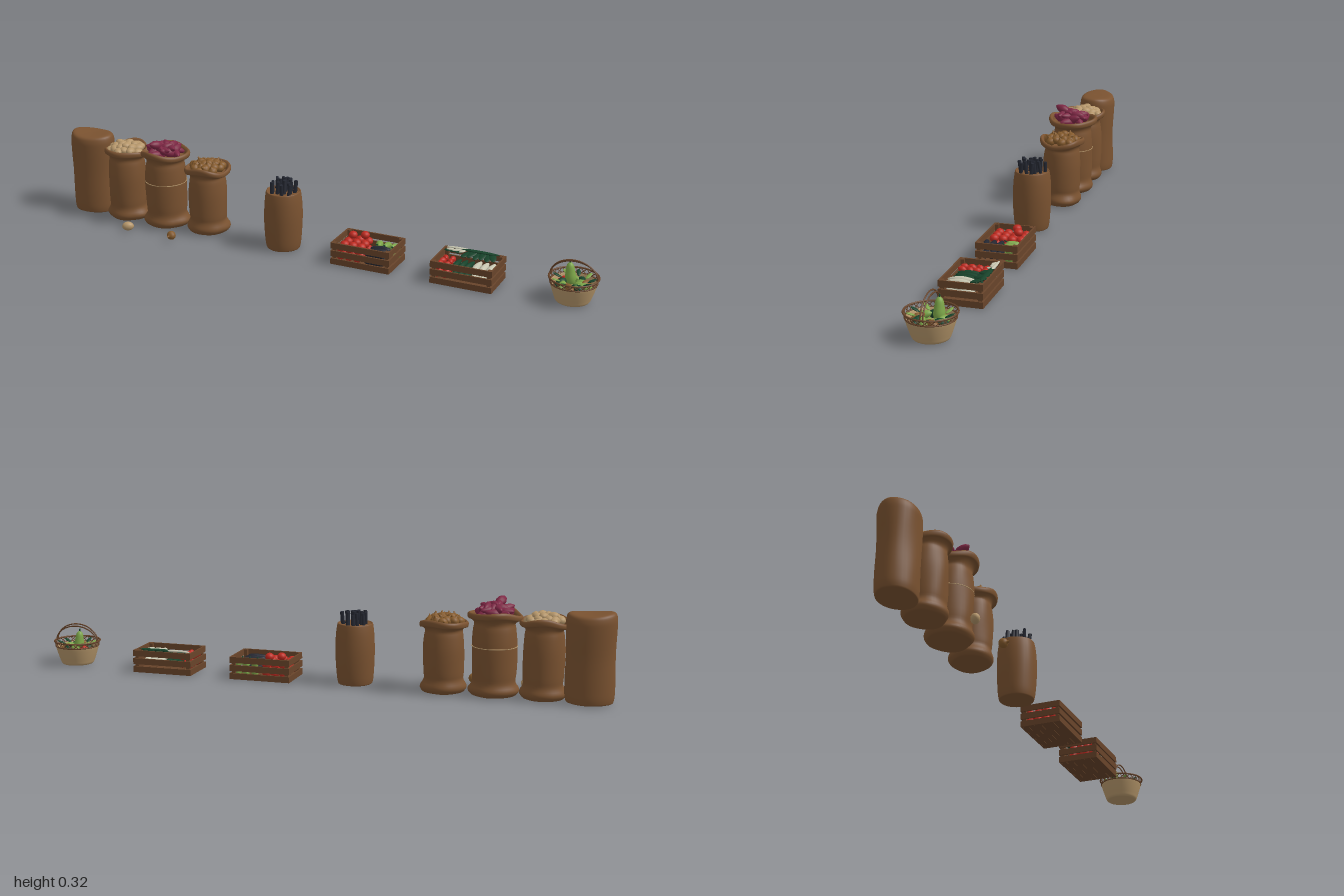
import * as THREE from 'three';
import { mergeVertices } from 'three/addons/utils/BufferGeometryUtils.js';

const mat = (name, color, side = THREE.FrontSide) => new THREE.MeshStandardMaterial({ name, color, side });

// Small seeded generator for natural variation
let seed = 7;
const rnd = (a = 0, b = 1) => {
  seed = (seed * 16807) % 2147483647;
  return a + (b - a) * (seed / 2147483647);
};

// Smooth lathe from a few profile points, optionally reshaped by a rule
function turned(points, segments, rule, divisions = points.length * 3) {
  const curve = new THREE.SplineCurve(points.map(p => new THREE.Vector2(p[0], p[1])));
  const pts = curve.getPoints(divisions).map(p => new THREE.Vector2(Math.max(0, p.x), p.y));
  let geo = new THREE.LatheGeometry(pts, segments);
  geo.deleteAttribute('uv');
  geo.deleteAttribute('normal');
  geo = mergeVertices(geo, 1e-4);
  const pos = geo.attributes.position;
  const v = new THREE.Vector3();
  if (rule) for (let i = 0; i < pos.count; i++) {
    rule(v.fromBufferAttribute(pos, i));
    pos.setXYZ(i, v.x, v.y, v.z);
  }
  geo.computeVertexNormals();
  return geo;
}

export function createModel() {
  seed = 7;
  const root = new THREE.Group();
  root.name = 'marketGoods';

  const burlap = mat('burlap', 0x7a5230, THREE.DoubleSide);
  const wood = mat('crateWood', 0x68442a);
  const straw = mat('straw', 0xb5966a, THREE.DoubleSide);
  const sweet = mat('sweetPotatoSkin', 0x7d2744);
  const coal = mat('charcoal', 0x242731);
  const red = mat('red', 0xbe2a20);
  const green = mat('lightGreen', 0x7ca548);
  const dark = mat('darkGreen', 0x17422a);
  const pale = mat('paleRoot', 0xc6c5b0);
  const onionSkin = mat('onionSkin', 0x845a2c);

  const group = (name, x, z) => {
    const g = new THREE.Group();
    g.name = name;
    g.position.set(x, 0, z);
    root.add(g);
    return g;
  };
  const add = (parent, name, geo, material, p = [0, 0, 0], s = [1, 1, 1], r = [0, 0, 0]) => {
    const m = new THREE.Mesh(geo, material);
    m.name = name;
    m.position.set(...p);
    m.scale.set(...s);
    m.rotation.set(...r);
    parent.add(m);
    return m;
  };

  // Shared produce shapes, one unit in radius
  const ball = new THREE.SphereGeometry(1, 14, 10);
  const spindle = turned([[0, -1], [0.45, -0.82], [0.9, -0.3], [1, 0.1], [0.7, 0.6], [0.3, 0.88], [0, 1]], 12);
  const bulb = turned([[0, -1], [0.7, -0.75], [1, -0.1], [0.8, 0.5], [0.28, 0.9], [0.12, 1.3], [0, 1.4]], 12);
  const gourdShape = turned([[0, -1], [0.7, -0.9], [1, -0.4], [0.85, 0.2], [0.65, 0.7], [0.3, 0.95], [0, 1]], 16);

  // Open sack: bulging foot with ears, narrowed neck and rolled wavy rim
  function openSack(name, x, z, r, h, phase) {
    const g = group(name, x, z);
    const geo = turned([
      [0, 0], [0.8 * r, 0], [r, 0.008], [1.07 * r, 0.022], [0.97 * r, 0.045], [r, 0.3 * h], [1.02 * r, 0.6 * h],
      [0.97 * r, 0.8 * h], [0.92 * r, 0.89 * h], [1.05 * r, h - 0.015], [1.17 * r, h - 0.012], [1.2 * r, h],
      [1.12 * r, h + 0.007], [1.0 * r, h], [0.93 * r, h - 0.016], [0.5 * r, h - 0.012], [0, h - 0.008]
    ], 40, v => {
      const a = Math.atan2(v.z, v.x);
      const rad = Math.hypot(v.x, v.z);
      const foot = 1 - THREE.MathUtils.smoothstep(v.y, 0.015, 0.05);
      const rim = THREE.MathUtils.smoothstep(v.y, 0.85 * h, h) * Math.min(1, rad / r);
      const k = 1 + foot * 0.09 * Math.max(0, Math.cos(2 * a + phase * 0.2)) + 0.015 * Math.sin(5 * a + v.y * 30 + phase)
        + rim * 0.035 * Math.sin(4 * a + phase);
      v.x *= k;
      v.z *= k;
      v.y += rim * (-0.007 * Math.cos(2 * a) + 0.004 * Math.sin(3 * a + phase));
    }, 60);
    add(g, 'sackCloth', geo, burlap);
    return g;
  }

  // Domed pile laid out on a spiral
  function pile(g, name, n, radius, base, dome, place) {
    for (let i = 0; i < n; i++) {
      const t = (i + 0.3) / n, a = i * 2.4, q = radius * Math.sqrt(t);
      const m = place([q * Math.cos(a), base + dome * (1 - t) + rnd(-0.003, 0.003), q * Math.sin(a)]);
      m.name = name;
    }
  }

  // Tall closed sack with a flattened body and saddle-shaped top
  const closed = group('closedSack', -0.917, -0.054);
  closed.rotation.y = 0.08;
  add(closed, 'sackCloth', turned([
    [0, 0], [0.065, 0], [0.078, 0.012], [0.08, 0.06], [0.079, 0.15], [0.082, 0.24], [0.081, 0.275], [0.07, 0.293], [0.035, 0.297], [0, 0.297]
  ], 36, v => {
    const a = Math.atan2(v.z, v.x);
    v.z *= 0.8;
    v.multiply(new THREE.Vector3(1 + 0.012 * Math.sin(4 * a + v.y * 22), 1, 1 + 0.02 * Math.sin(3 * a + v.y * 25)));
    v.y += THREE.MathUtils.smoothstep(v.y, 0.24, 0.297) * ((v.x / 0.08) ** 2 * 0.01 - 0.004 - 0.04 * v.x);
  }, 45), burlap);

  // Potato sack
  const potatoes = openSack('potatoSack', -0.765, -0.04, 0.067, 0.257, 0.5);
  pile(potatoes, 'potato', 24, 0.058, 0.254, 0.02, p =>
    add(potatoes, '', ball, straw, p, [rnd(0.018, 0.022), 0.014, 0.016], [rnd(-0.4, 0.4), rnd(0, 6), rnd(-0.4, 0.4)]));

  // Sweet potato sack with a cord round its middle
  const sweets = openSack('sweetPotatoSack', -0.602, -0.038, 0.073, 0.272, 2.1);
  pile(sweets, 'sweetPotato', 22, 0.05, 0.272, 0.025, p =>
    add(sweets, '', spindle, sweet, p, [rnd(0.012, 0.016), rnd(0.028, 0.036), 0.014], [0, rnd(0, 6), Math.PI / 2 + rnd(-0.4, 0.4)]));
  add(sweets, 'topSweetPotato', spindle, sweet, [-0.01, 0.306, 0.04], [0.016, 0.033, 0.017], [0, 1.3, Math.PI / 2 - 0.3]);
  add(sweets, 'cord', new THREE.TorusGeometry(0.0745, 0.0015, 6, 40), straw, [0, 0.165, 0], [1, 1, 1], [Math.PI / 2, 0, 0]);

  // Onion sack
  const onions = openSack('onionSack', -0.433, -0.042, 0.067, 0.236, 4);
  pile(onions, 'onion', 20, 0.056, 0.235, 0.016, p =>
    add(onions, '', bulb, onionSkin, p, [0.017, 0.016, 0.017], [rnd(-1, 1), rnd(0, 6), rnd(-1, 1)]));

  // Loose vegetables on the ground
  add(root, 'loosePotato', ball, straw, [-0.69, 0.016, 0.09], [0.021, 0.016, 0.015], [0, 0.5, 0]);
  add(root, 'looseOnion', bulb, onionSkin, [-0.505, 0.017, 0.101], [0.016, 0.016, 0.016], [Math.PI / 2, 0, 0.2]);

  // Charcoal sack: barrel-shaped, filled to the brim
  const charcoal = group('charcoalSack', -0.122, -0.019);
  add(charcoal, 'sackCloth', turned([
    [0, 0], [0.05, 0], [0.06, 0.01], [0.065, 0.06], [0.067, 0.12], [0.065, 0.17], [0.061, 0.202], [0.058, 0.209], [0.052, 0.206], [0.03, 0.204], [0, 0.204]
  ], 32, v => {
    const k = 1 + 0.01 * Math.sin(5 * Math.atan2(v.z, v.x) + v.y * 20);
    v.x *= k;
    v.z *= k;
  }, 45), burlap);
  const stick = new THREE.CylinderGeometry(0.006, 0.007, 0.07, 6);
  pile(charcoal, 'charcoalStick', 17, 0.048, 0.208, 0.006, p =>
    add(charcoal, '', stick, coal, p, [rnd(0.8, 1.2), 1, 1], [rnd(-0.12, 0.12), rnd(0, 3), rnd(-0.12, 0.12)]));

  // Slatted crate
  function crate(name, x, z) {
    const g = group(name, x, z), W = 0.215, D = 0.145;
    for (let i = 0; i < 6; i++) add(g, 'floorBoard', new THREE.BoxGeometry(W - 0.008, 0.006, 0.0225), wood, [0, 0.004, (i - 2.5) * 0.0232]);
    for (const s of [-1, 1]) {
      for (let i = 0; i < 3; i++) {
        const y = 0.011 + i * 0.0285;
        add(g, 'longSlat', new THREE.BoxGeometry(W, 0.021, 0.006), wood, [0, y, s * (D / 2 - 0.003)]);
        add(g, 'endSlat', new THREE.BoxGeometry(0.006, 0.021, D - 0.012), wood, [s * (W / 2 - 0.003), y, 0]);
      }
      for (const t of [-1, 1]) add(g, 'cornerPost', new THREE.BoxGeometry(0.012, 0.076, 0.012), wood, [s * (W / 2 - 0.012), 0.04, t * (D / 2 - 0.012)]);
    }
    return g;
  }

  // First crate: tomatoes, green peppers and aubergines
  const crateA = crate('tomatoCrate', 0.197, -0.022);
  for (const y of [0.026, 0.055]) for (let i = 0; i < 3; i++) {
    for (let j = 0; j < 4; j++)
      add(crateA, 'tomato', ball, red, [-0.08 + i * 0.031, y, -0.047 + j * 0.031], [0.0155, 0.0135, 0.0155]);
    add(crateA, 'greenPepper', gourdShape, green, [0.028 + i * 0.028, y, -0.035], [0.013, 0.024, 0.013], [1.3, 0, i * 0.3 - 0.3]);
    add(crateA, 'aubergine', gourdShape, coal, [0.048, y, 0.005 + i * 0.024], [0.013, 0.036, 0.012], [0, 0.1 * i, Math.PI / 2]);
  }
  for (const [x, z] of [[-0.064, -0.02], [-0.026, -0.036]]) add(crateA, 'topTomato', ball, red, [x, 0.08, z], [0.0155, 0.0135, 0.0155]);
  for (let i = 0; i < 3; i++) add(crateA, 'pepperStem', new THREE.CylinderGeometry(0.002, 0.003, 0.014, 6), dark, [0.028 + i * 0.028, 0.064, -0.01], [1, 1, 1], [1.1, 0, 0]);

  // Second crate: radishes, cucumbers and white roots with their leaves
  const crateB = crate('rootCrate', 0.557, -0.022);
  for (const y of [0.028, 0.055]) {
    for (let i = 0; i < 8; i++)
      add(crateB, 'radish', spindle, red, [-0.088 + (i % 2) * 0.026, y, -0.025 + Math.floor(i / 2) * 0.025], [0.01, 0.016, 0.011], [1.2, 0, (i % 3 - 1) * 0.4]);
    for (let i = 0; i < 3; i++) {
      add(crateB, 'cucumber', spindle, dark, [-0.036 + i * 0.021, y, 0.012], [0.01, 0.048, 0.01], [Math.PI / 2, 0, 0.05 * i]);
      add(crateB, 'whiteRoot', spindle, pale, [0.036 + i * 0.024, y + 0.004, 0.016], [0.012, 0.05, 0.012], [Math.PI / 2, 0, 0]);
    }
  }
  for (let i = 0; i < 6; i++) {
    add(crateB, 'rootLeaf', ball, dark, [-0.02 + i * 0.018, 0.072 + (i % 2) * 0.004, -0.045], [0.012, 0.004, 0.026], [0.2, 0.2 * (i - 3), 0]);
    add(crateB, 'radishLeaf', ball, i % 2 ? pale : dark, [-0.092 + i * 0.011, 0.074 + (i % 2) * 0.005, -0.05], [0.016, 0.003, 0.008], [0, 0.3 * (i - 2), 0.1]);
  }
  add(crateB, 'longLeaf', ball, dark, [0.02, 0.082, -0.058], [0.07, 0.004, 0.009]);
  add(crateB, 'longLeaf', ball, pale, [-0.05, 0.082, -0.06], [0.05, 0.004, 0.006]);

  // Woven basket: solid bowl, lattice band and arched double handle
  const basket = group('basket', 0.916, -0.019);
  add(basket, 'bowl', turned([
    [0, 0], [0.045, 0], [0.056, 0.004], [0.062, 0.018], [0.07, 0.042], [0.076, 0.064], [0.073, 0.065], [0.066, 0.042], [0.06, 0.03], [0, 0.03]
  ], 36, null, 50), straw);
  for (const [r, y, t] of [[0.076, 0.066, 0.0025], [0.0805, 0.083, 0.003]])
    add(basket, 'rimHoop', new THREE.TorusGeometry(r, t, 8, 40), wood, [0, y, 0], [1, 1, 1], [Math.PI / 2, 0, 0]);
  const ring = (a, r, y) => new THREE.Vector3(r * Math.cos(a), y, r * Math.sin(a));
  for (let i = 0; i < 24; i++) for (const s of [-1, 1]) {
    const a = i * Math.PI / 12;
    const path = new THREE.LineCurve3(ring(a, 0.076, 0.066), ring(a + s * 0.27, 0.0805, 0.083));
    add(basket, 'lattice', new THREE.TubeGeometry(path, 1, 0.0014, 5), wood);
  }
  for (const s of [-1, 1]) {
    const path = [];
    for (let i = 0; i <= 16; i++) {
      const a = Math.PI * i / 16;
      path.push(new THREE.Vector3(0.079 * Math.cos(a), 0.08 + (s > 0 ? 0.062 : 0.055) * Math.sin(a), s * 0.004));
    }
    add(basket, 'handle', new THREE.TubeGeometry(new THREE.CatmullRomCurve3(path), 40, 0.0024, 6), wood);
  }

  // Basket contents
  add(basket, 'gourd', gourdShape, green, [-0.018, 0.084, -0.02], [0.018, 0.038, 0.018], [0, 0, 0.08]);
  add(basket, 'gourdStem', new THREE.CylinderGeometry(0.002, 0.003, 0.012, 6), dark, [-0.021, 0.124, -0.02]);
  for (let i = 0; i < 9; i++) {
    const a = i * 0.7 + 0.2;
    add(basket, 'vegetable', spindle, [green, dark, i % 2 ? red : onionSkin][i % 3], [0.042 * Math.cos(a), 0.058, 0.042 * Math.sin(a)],
      [0.013, 0.026, 0.013], [0, -a + 0.8, Math.PI / 2 - 0.3]);
    add(basket, 'leaf', ball, i % 2 ? green : dark, [0.058 * Math.cos(a + 0.3), 0.075, 0.058 * Math.sin(a + 0.3)],
      [0.016, 0.003, 0.007], [0, -a, 0.4]);
  }
  for (let i = 0; i < 3; i++) add(basket, 'fillerVegetable', ball, green, [0.02, 0.055, -0.02 + i * 0.02], [0.02, 0.014, 0.012]);

  return root;
}
